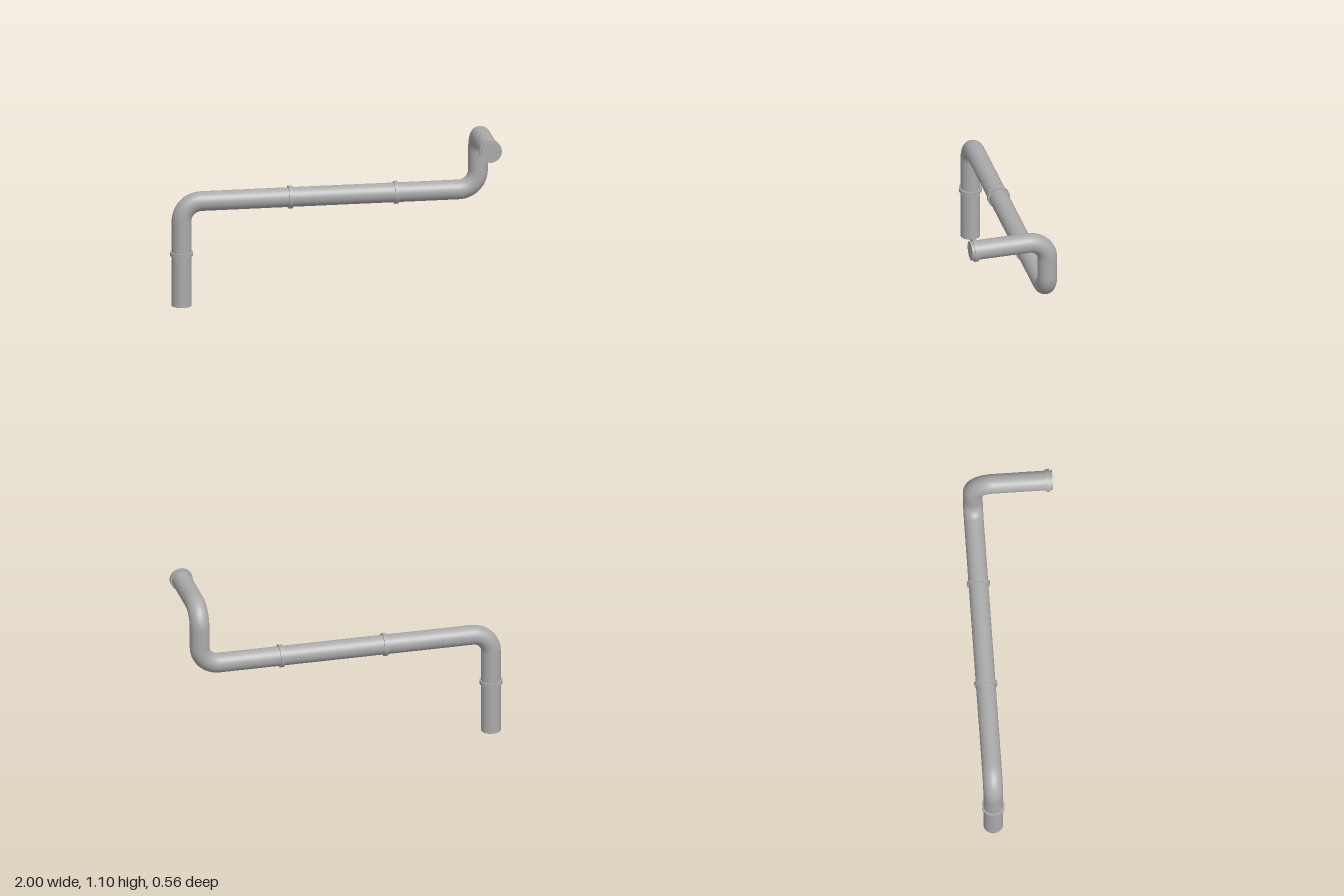
import * as THREE from 'three';

export function createModel() {
  const model = new THREE.Group();
  const grey = new THREE.MeshStandardMaterial({ color: 0xaaaaaa, side: THREE.DoubleSide });
  grey.name = 'pipe grey';

  const R = 0.061, BEND = 0.122, SIDES = 40;
  const v = (x, y, z) => new THREE.Vector3(x, y, z);
  const UP = v(0, 1, 0);

  // Corner points of the pipe run, from the ground to the front outlet
  const corners = [
    v(-0.929, 0, -0.209),
    v(-0.929, 0.664, -0.209),
    v(0.926, 0.664, -0.209),
    v(0.926, 1.032, -0.209),
    v(0.926, 1.032, 0.284),
  ];

  function add(name, geometry) {
    const mesh = new THREE.Mesh(geometry, grey);
    mesh.name = name;
    model.add(mesh);
    return mesh;
  }

  function cylinder(name, radius, from, to, open) {
    const dir = to.clone().sub(from);
    const mesh = add(name, new THREE.CylinderGeometry(radius, radius, dir.length(), SIDES, 1, open));
    mesh.position.copy(from).lerp(to, 0.5);
    mesh.quaternion.setFromUnitVectors(UP, dir.normalize());
  }

  // Quarter-circle elbow around a corner, between two unit directions
  function elbow(name, corner, dirIn, dirOut) {
    const centre = corner.clone().addScaledVector(dirIn, -BEND).addScaledVector(dirOut, BEND);
    const arc = new THREE.Curve();
    arc.getPoint = (t, target = new THREE.Vector3()) => {
      const a = t * Math.PI / 2;
      return target.copy(centre)
        .addScaledVector(dirOut, -BEND * Math.cos(a))
        .addScaledVector(dirIn, BEND * Math.sin(a));
    };
    add(name, new THREE.TubeGeometry(arc, 20, R, SIDES, false));
  }

  // Straight runs, shortened where they meet an elbow
  const runs = ['lowerPipe', 'horizontalPipe', 'upperPipe', 'outletPipe'];
  const dirs = runs.map((_, i) => corners[i + 1].clone().sub(corners[i]).normalize());
  runs.forEach((name, i) => {
    const from = corners[i].clone().addScaledVector(dirs[i], i > 0 ? BEND : 0);
    const to = corners[i + 1].clone().addScaledVector(dirs[i], i < 3 ? -BEND : 0);
    cylinder(name, R, from, to, i === 1 || i === 2);
  });
  ['lowerElbow', 'middleElbow', 'upperElbow'].forEach((name, i) =>
    elbow(name, corners[i + 1], dirs[i], dirs[i + 1]));

  // Raised joint collars
  const collars = [
    ['lowerCollar', v(-0.929, 0.332, -0.209), dirs[0]],
    ['leftCollar', v(-0.25, 0.664, -0.209), dirs[1]],
    ['rightCollar', v(0.411, 0.664, -0.209), dirs[1]],
    ['outletCollar', v(0.926, 1.032, 0.255), dirs[3]],
  ];
  for (const [name, p, d] of collars)
    cylinder(name, 0.071, p.clone().addScaledVector(d, -0.012), p.clone().addScaledVector(d, 0.012), false);

  return model;
}
